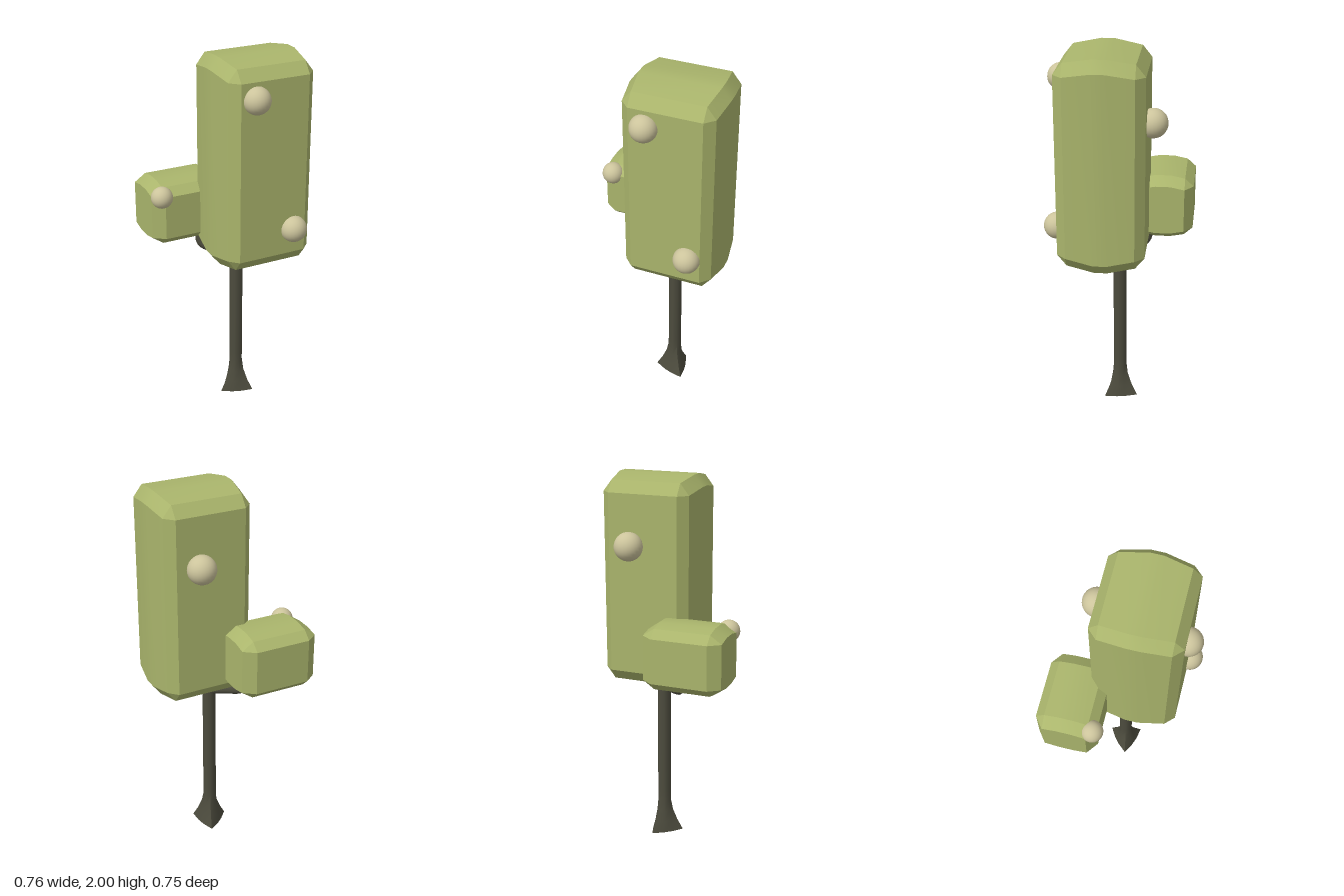
import * as THREE from 'three';
import { toCreasedNormals } from 'three/addons/utils/BufferGeometryUtils.js';

const leaf = new THREE.MeshStandardMaterial({ color: 0xaab56c });
const bark = new THREE.MeshStandardMaterial({ color: 0x4d4c3e });
const fruitSkin = new THREE.MeshStandardMaterial({ color: 0xccc49c });

// Bevelled block lofted along z; its sides swell towards the middle.
// w, h, d are half sizes before the swell, cx, cy, cz the bevel widths.
function bulgedBlock({ w, h, d, cx, cy, cz, swellX, swellY, strip }) {
  const ring = (z, bx, by, swell) => {
    const ox = w + swell * swellX, oy = h + swell * swellY;
    const ix = ox - cx, iy = oy - cy;
    const X = bx ? ox : ix, Y = by ? oy : iy;
    return [[X, -iy], [X, iy], [ix, Y], [-ix, Y], [-X, iy], [-X, -iy], [-ix, -Y], [ix, -Y]]
      .map(([x, y]) => [x, y, z]);
  };
  const rings = [
    ring(-d, false, false, 0), ring(-d + cz, true, true, 0), ring(-strip, true, true, 1),
    ring(strip, true, true, 1), ring(d - cz, true, true, 0), ring(d, false, false, 0),
  ];
  const index = [];
  for (let r = 0; r < rings.length - 1; r++) {
    for (let i = 0; i < 8; i++) {
      const a = r * 8 + i, b = r * 8 + (i + 1) % 8;
      index.push(a, b, b + 8, a, b + 8, a + 8);
    }
  }
  const last = (rings.length - 1) * 8;
  for (let i = 1; i < 7; i++) index.push(0, i + 1, i, last, last + i, last + i + 1);
  const geo = new THREE.BufferGeometry();
  geo.setAttribute('position', new THREE.Float32BufferAttribute(rings.flat(2), 3));
  geo.setIndex(index);
  return toCreasedNormals(geo, 0.4);
}

// Straight trunk whose foot spreads into three roots
function trunkGeometry() {
  const radius = 0.036, height = 0.95;
  const geo = new THREE.CylinderGeometry(radius, radius, height, 9, 16);
  geo.translate(0, height / 2, 0);
  const p = geo.attributes.position;
  for (let i = 0; i < p.count; i++) {
    const x = p.getX(i), y = p.getY(i), z = p.getZ(i);
    const flare = Math.max(0, 1 - y / 0.18) ** 1.6;
    const root = Math.cos(3 * (Math.atan2(x, z) - Math.PI * 40 / 180));
    const s = 1 + flare * (1.2 + 0.7 * root);
    p.setXYZ(i, x * s, y, z * s);
  }
  return toCreasedNormals(geo, 0.75);
}

export function createModel() {
  const group = new THREE.Group();
  const add = (name, geo, material, x, y, z) => {
    const mesh = new THREE.Mesh(geo, material);
    mesh.name = name;
    mesh.position.set(x, y, z);
    group.add(mesh);
  };

  // Foliage
  add('mainFoliage', bulgedBlock({
    w: 0.235, h: 0.535, d: 0.225, cx: 0.047, cy: 0.06, cz: 0.048,
    swellX: 0.02, swellY: 0.025, strip: 0.035,
  }), leaf, 0.125, 1.44, 0.075);
  add('sideFoliage', bulgedBlock({
    w: 0.211, h: 0.16, d: 0.16, cx: 0.061, cy: 0.042, cz: 0.046,
    swellX: 0, swellY: 0.015, strip: 0.04,
  }), leaf, -0.164, 1.12, -0.22);

  // Trunk and the branch that carries the side foliage
  add('trunk', trunkGeometry(), bark, 0.07, 0, 0);
  const path = new THREE.CatmullRomCurve3([
    [0.07, 0.865, 0], [0.0, 0.878, -0.062], [-0.06, 0.89, -0.115],
    [-0.08, 0.91, -0.132], [-0.082, 0.99, -0.135],
  ].map(p => new THREE.Vector3(...p)));
  add('branch', new THREE.TubeGeometry(path, 20, 0.028, 8), bark, 0, 0, 0);

  // Round fruit
  const fruits = [
    [0.02, 1.825, 0.305, 0.07], [0.245, 1.1, 0.305, 0.07],
    [0.191, 1.65, -0.178, 0.075], [-0.325, 1.235, -0.083, 0.058],
  ];
  for (const [x, y, z, r] of fruits) {
    add('fruit', new THREE.SphereGeometry(r, 24, 16), fruitSkin, x, y, z);
  }
  return group;
}
